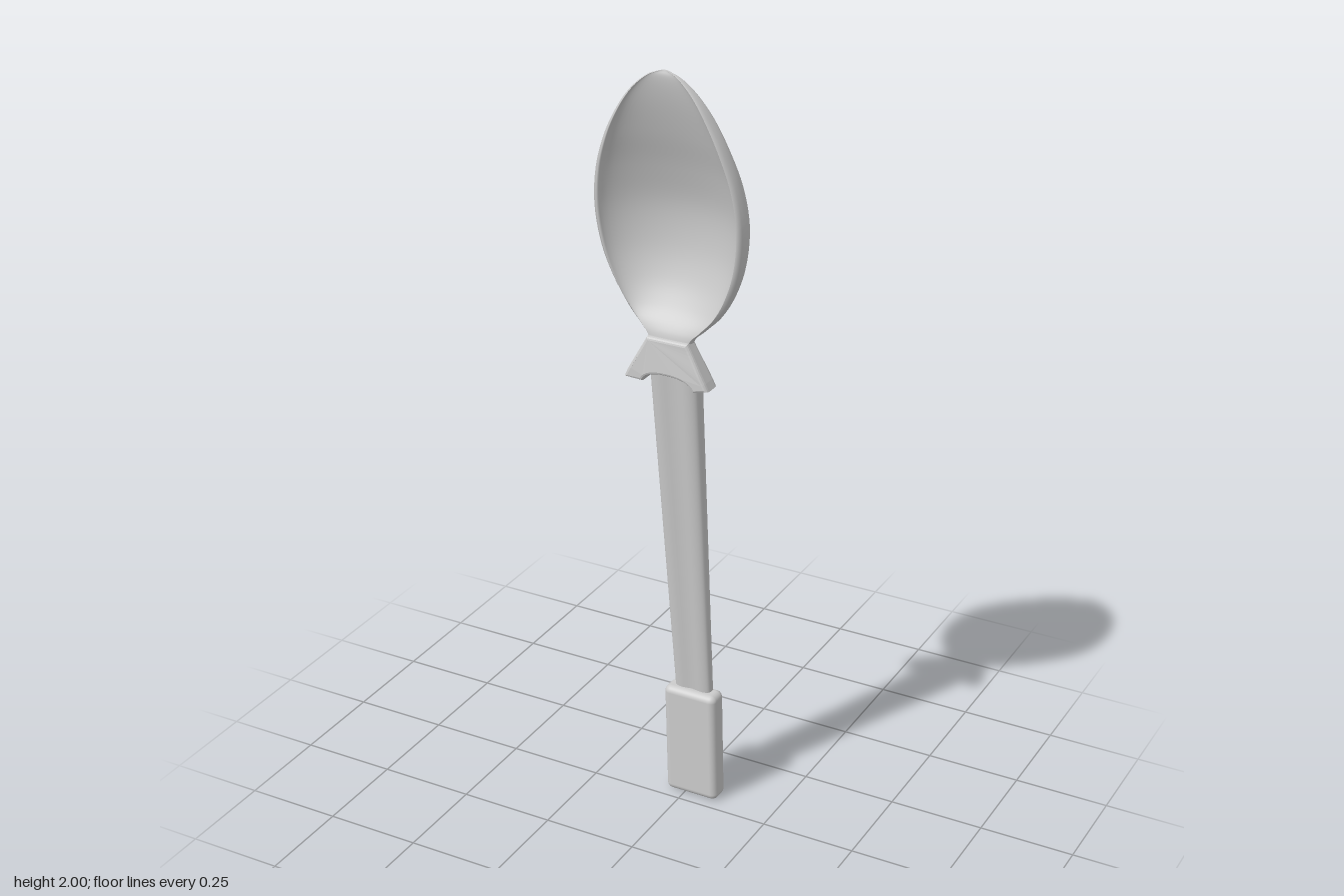
import * as THREE from 'three';
import { RoundedBoxGeometry } from 'three/addons/geometries/RoundedBoxGeometry.js';

const material = new THREE.MeshStandardMaterial({ color: 0xcccccc });

function addMesh(group, name, geometry) {
  const mesh = new THREE.Mesh(geometry, material);
  mesh.name = name;
  group.add(mesh);
}

// Skin closed loops (anticlockwise seen from above, rising in y) and cap both ends.
function loft(loops) {
  const n = loops[0].length, pos = loops.flat(2), index = [];
  for (let j = 0; j < loops.length - 1; j++) {
    for (let i = 0; i < n; i++) {
      const k = (i + 1) % n;
      const a = j * n + i, b = j * n + k;
      index.push(a, b, b + n, a, b + n, a + n);
    }
  }
  for (const top of [false, true]) {
    const loop = loops[top ? loops.length - 1 : 0];
    const start = pos.length / 3;
    pos.push(...loop.flat());
    pos.push(...[0, 1, 2].map(c => loop.reduce((s, p) => s + p[c], 0) / n));
    for (let i = 0; i < n; i++) {
      const a = start + i, b = start + (i + 1) % n;
      index.push(start + n, top ? a : b, top ? b : a);
    }
  }
  const g = new THREE.BufferGeometry();
  g.setAttribute('position', new THREE.Float32BufferAttribute(pos, 3));
  g.setIndex(index);
  g.computeVertexNormals();
  return g;
}

// Bowl stations: height, half width, rim z, back z, inner hollow z
const BOWL = [
  [1.27, 0.055, 0.055, 0.012, 0.058],
  [1.33, 0.058, 0.05, 0.01, 0.052],
  [1.36, 0.085, 0.045, 0.0, 0.04],
  [1.4, 0.123, 0.042, -0.032, 0.01],
  [1.46, 0.158, 0.046, -0.056, -0.02],
  [1.54, 0.186, 0.054, -0.068, -0.038],
  [1.64, 0.198, 0.064, -0.064, -0.036],
  [1.74, 0.187, 0.074, -0.034, -0.008],
  [1.83, 0.157, 0.083, 0.0, 0.026],
  [1.9, 0.121, 0.085, 0.026, 0.05],
  [1.95, 0.085, 0.082, 0.042, 0.064],
  [1.985, 0.045, 0.076, 0.055, 0.07],
  [2.0, 0.008, 0.068, 0.062, 0.067],
];

function bowlGeometry() {
  const size = new THREE.CatmullRomCurve3(BOWL.map(s => new THREE.Vector3(s[0], s[1], 0)), false, 'catmullrom');
  const depth = new THREE.CatmullRomCurve3(BOWL.map(s => new THREE.Vector3(s[2], s[3], s[4])), false, 'catmullrom');
  const loops = [], rows = 60, m = 24;
  for (let j = 0; j <= rows; j++) {
    const { x: y, y: w } = size.getPoint(j / rows);
    const { x: rim, y: back, z: inner } = depth.getPoint(j / rows);
    const edge = rim - Math.min(0.03, (rim - back) * 0.5);
    const loop = [];
    // Convex back, from the left edge to the right edge
    for (let i = 0; i <= m; i++) {
      const a = Math.PI * i / m;
      loop.push([w * Math.cos(a), y, edge + (back - edge) * Math.sin(a)]);
    }
    // Rounded rim and hollow front
    loop.push([-w * 0.985, y, edge + (rim - edge) * 0.7]);
    for (let i = 0; i <= m; i++) {
      const a = Math.PI * i / m;
      loop.push([-w * 0.93 * Math.cos(a), y, rim + (inner - rim) * Math.sin(a) ** 1.2]);
    }
    loop.push([w * 0.985, y, edge + (rim - edge) * 0.7]);
    loops.push(loop);
  }
  return loft(loops);
}

// Tapered, leaning handle with a shallow groove along the front and back
function handleGeometry() {
  const loops = [], rows = 16, n = 40;
  const mix = THREE.MathUtils.lerp;
  for (let j = 0; j <= rows; j++) {
    const t = j / rows, y = mix(0.28, 1.29, t);
    const cx = mix(0.02, 0.011, t), cz = mix(-0.054, 0.036, t);
    const w = mix(0.05, 0.066, t), d = mix(0.019, 0.031, t);
    const loop = [];
    for (let i = 0; i < n; i++) {
      const a = 2 * Math.PI * i / n, c = Math.cos(a), s = Math.sin(a);
      const px = Math.sign(c) * Math.abs(c) ** 0.7;
      const pz = -Math.sign(s) * Math.abs(s) ** 0.6;
      const groove = 1 - 0.28 * Math.exp(-((px / 0.4) ** 2));
      loop.push([cx + w * px, y, cz + d * pz * groove]);
    }
    loops.push(loop);
  }
  return loft(loops);
}

// Flared collar with two pointed tips and an arched lower edge
function collarGeometry() {
  const s = new THREE.Shape();
  s.moveTo(-0.05, 1.325);
  s.quadraticCurveTo(-0.075, 1.28, -0.104, 1.225);
  s.lineTo(-0.068, 1.225);
  s.quadraticCurveTo(-0.055, 1.25, 0, 1.25);
  s.quadraticCurveTo(0.06, 1.25, 0.078, 1.222);
  s.lineTo(0.104, 1.228);
  s.quadraticCurveTo(0.075, 1.28, 0.05, 1.325);
  s.closePath();
  const g = new THREE.ExtrudeGeometry(s, {
    depth: 0.032, bevelEnabled: true, bevelSize: 0.008, bevelThickness: 0.011, bevelSegments: 3, curveSegments: 10,
  });
  g.translate(0, 0, 0.027);
  // Thin the upper end where it wraps the neck
  const p = g.attributes.position;
  for (let i = 0; i < p.count; i++) {
    const k = 1 - 0.2 * THREE.MathUtils.smoothstep(p.getY(i), 1.24, 1.33);
    p.setZ(i, 0.035 + (p.getZ(i) - 0.035) * k);
  }
  g.computeVertexNormals();
  return g;
}

// Flat rounded grip, sheared to follow the lean of the handle
function gripGeometry() {
  const g = new RoundedBoxGeometry(0.148, 0.322, 0.06, 4, 0.018);
  g.translate(0.021, 0.161, 0);
  const p = g.attributes.position;
  for (let i = 0; i < p.count; i++) p.setZ(i, p.getZ(i) - 0.057 + 0.045 * p.getY(i));
  return g;
}

export function createModel() {
  const group = new THREE.Group();
  group.name = 'spoon';
  addMesh(group, 'bowl', bowlGeometry());
  addMesh(group, 'collar', collarGeometry());
  addMesh(group, 'handle', handleGeometry());
  addMesh(group, 'grip', gripGeometry());
  return group;
}
